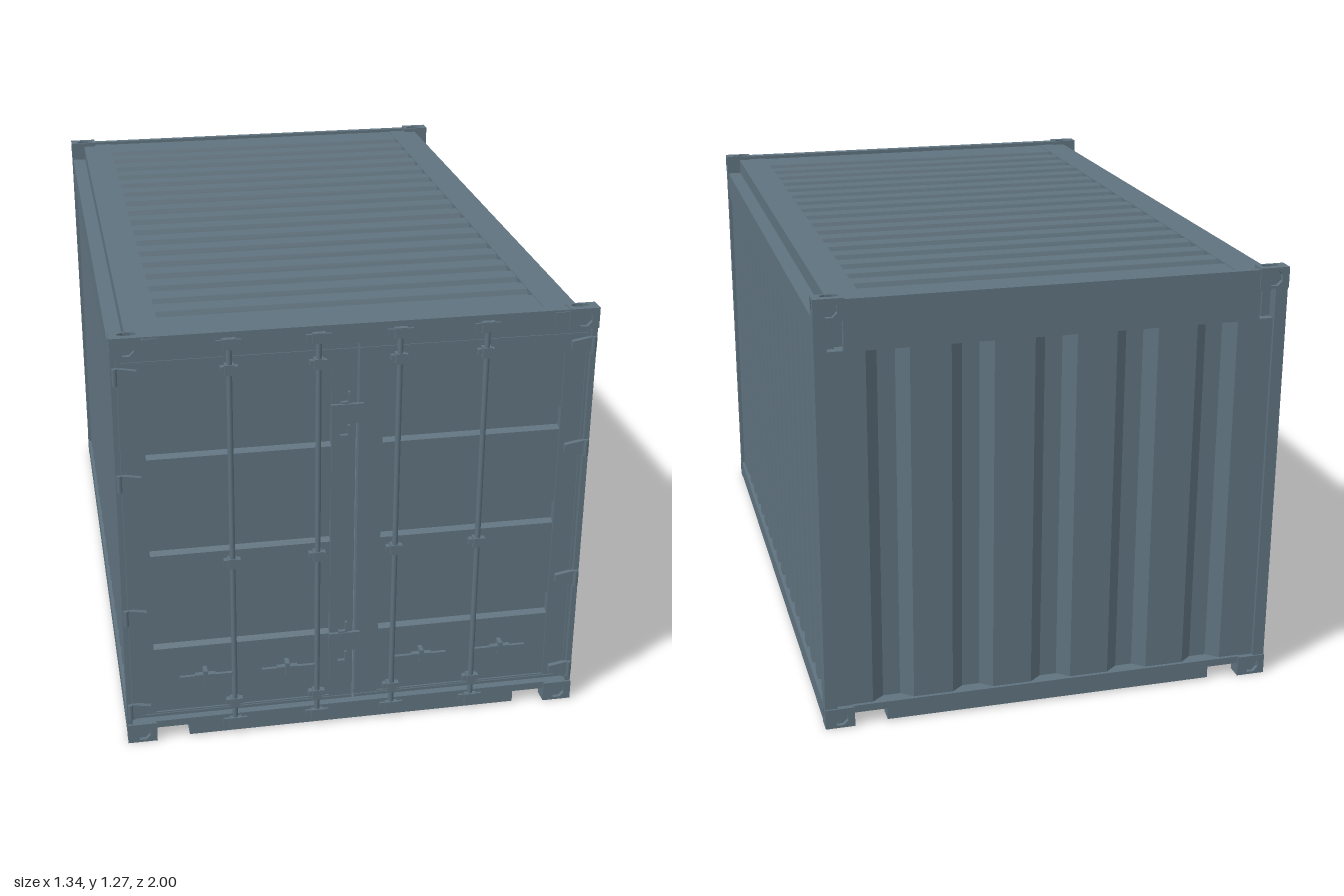
import * as THREE from 'three';

const mat = new THREE.MeshStandardMaterial({ color: 0x5f727e });

export function createModel() {
  const root = new THREE.Group();
  root.name = 'shippingContainer';

  const add = (name, geo, x = 0, y = 0, z = 0, parent = root) => {
    const m = new THREE.Mesh(geo, mat);
    m.name = name;
    m.position.set(x, y, z);
    parent.add(m);
    return m;
  };
  // box given by its limits on each axis
  const box = (name, x0, x1, y0, y1, z0, z1, parent = root) =>
    add(name, new THREE.BoxGeometry(Math.abs(x1 - x0), y1 - y0, z1 - z0),
      (x0 + x1) / 2, (y0 + y1) / 2, (z0 + z1) / 2, parent);

  // plate with trapezoid grooves: u runs across the grooves, w points outward
  const corrugated = (name, u0, u1, grooves, slope, depth, thick, length, uAxis, wAxis, pos) => {
    const s = new THREE.Shape();
    s.moveTo(u0, -thick);
    s.lineTo(u1, -thick);
    s.lineTo(u1, 0);
    [...grooves].sort((a, b) => b[0] - a[0]).forEach(([a, b]) => {
      s.lineTo(b, 0);
      s.lineTo(b - slope, -depth);
      s.lineTo(a + slope, -depth);
      s.lineTo(a, 0);
    });
    s.lineTo(u0, 0);
    const g = new THREE.ExtrudeGeometry(s, { depth: length, bevelEnabled: false });
    g.translate(0, 0, -length / 2);
    g.applyMatrix4(new THREE.Matrix4().makeBasis(uAxis, wAxis, uAxis.clone().cross(wAxis)));
    return add(name, g, ...pos);
  };
  const X = new THREE.Vector3(1, 0, 0), Y = new THREE.Vector3(0, 1, 0), Z = new THREE.Vector3(0, 0, 1);

  // evenly spaced grooves along the length, shared by walls and roof
  const along = (half) => Array.from({ length: 17 }, (_, i) => {
    const c = -0.843 + i * 0.1027;
    return [c - half, c + half];
  });

  // floor and lower side rails
  box('floor', -0.65, 0.65, 0.03, 0.06, -0.97, 0.96);
  for (const s of [1, -1]) {
    box('bottomRail', s * 0.65, s * 0.67, 0.005, 0.06, -0.95, 0.95);
    box('topRail', s * 0.61, s * 0.668, 1.12, 1.21, -0.96, 0.96);
    box('frontPost', s * 0.655, s * 0.67, 0.06, 1.21, 0.95, 0.985);
    box('backPost', s * 0.635, s * 0.67, 0.06, 1.21, -0.995, -0.95);
    corrugated('sideWall', -0.95, 0.95, along(0.03), 0.012, 0.022, 0.035, 1.06,
      Z, X.clone().multiplyScalar(s), [s * 0.66, 0.59, 0]);
    box('roofEdge', s * 0.53, s * 0.625, 1.2, 1.257, -0.985, 0.96);
  }

  // roof with cross ribs
  corrugated('roof', -0.985, 0.96, along(0.025), 0.006, 0.014, 0.04, 1.06, Z, Y, [0, 1.255, 0]);

  // back wall with broad upright grooves
  const backGrooves = [-2, -1, 0, 1, 2].map((i) => [i * 0.235 - 0.06, i * 0.235 + 0.06]);
  corrugated('backWall', -0.64, 0.64, backGrooves, 0.035, 0.028, 0.04, 1.06,
    X, Z.clone().negate(), [0, 0.59, -0.985]);
  box('backHeader', -0.59, 0.59, 1.12, 1.265, -0.995, -0.975);
  box('frontHeader', -0.59, 0.59, 1.21, 1.267, 0.955, 0.985);

  // sills with lift pockets beside the corners
  for (const [z0, z1] of [[0.94, 0.985], [-0.995, -0.95]]) {
    box('sill', -0.49, 0.49, 0.005, 0.062, z0, z1);
    for (const s of [1, -1]) box('sillEnd', s * 0.49, s * 0.59, 0.04, 0.062, z0, z1);
  }

  // corner castings: a core with holed plates on the outer faces
  const holedPlate = (w, h, hw, hh, d) => {
    const s = new THREE.Shape([[-w, -h], [w, -h], [w, h], [-w, h]]
      .map(([a, b]) => new THREE.Vector2(a / 2, b / 2)));
    const p = [];
    for (let i = 0; i < 8; i++) {
      const a = (i + 0.5) * Math.PI / 4;
      p.push(new THREE.Vector2(Math.cos(a) * hw * 0.54, Math.sin(a) * hh * 0.54));
    }
    s.holes.push(new THREE.Path(p));
    return new THREE.ExtrudeGeometry(s, { depth: d, bevelEnabled: false });
  };
  const t = 0.012;
  for (const sx of [1, -1]) for (const sy of [1, -1]) for (const sz of [1, -1]) {
    const g = new THREE.Group();
    g.name = 'cornerCasting';
    const zo = sz > 0 ? 0.992 : -1;
    g.position.set(sx * 0.628, sy > 0 ? 1.24 : 0.03, zo - sz * 0.0235);
    root.add(g);
    add('castingCore', new THREE.BoxGeometry(0.085 - t, 0.06 - t, 0.047 - t),
      -sx * t / 2, -sy * t / 2, -sz * t / 2, g);
    const end = add('castingEnd', holedPlate(0.085, 0.06, 0.045, 0.045, t), 0, 0, sz * (0.0235 - t), g);
    if (sz < 0) end.rotation.y = Math.PI;
    const side = add('castingSide', holedPlate(0.047 - t, 0.06, 0.02, 0.042, t),
      sx * (0.0425 - t), 0, -sz * t / 2, g);
    side.rotation.y = sx * Math.PI / 2;
    const cap = add('castingCap', holedPlate(0.085 - t, 0.047 - t, 0.05, 0.022, t),
      -sx * t / 2, sy * (0.03 - t), -sz * t / 2, g);
    cap.rotation.x = -sy * Math.PI / 2;
  }

  // doors: frame, grooved panel and seals
  const doorGrooves = [0.295, 0.6, 0.9].map((y) => [y, y + 0.07]);
  for (const s of [1, -1]) {
    box('doorOuterStile', s * 0.585, s * 0.65, 0.07, 1.205, 0.945, 0.973);
    box('doorInnerStile', s * 0.004, s * 0.072, 0.07, 1.205, 0.945, 0.973);
    box('doorTopRail', s * 0.072, s * 0.585, 1.135, 1.205, 0.945, 0.973);
    box('doorBottomRail', s * 0.072, s * 0.585, 0.07, 0.085, 0.945, 0.973);
    corrugated('doorPanel', 0.085, 1.135, doorGrooves, 0.008, 0.018, 0.03, 0.513,
      Y, Z, [s * 0.3285, 0, 0.968]);
    box('doorSealSide', s * 0.645, s * 0.653, 0.07, 1.205, 0.95, 0.977);
    box('doorSealTop', s * 0.004, s * 0.645, 1.188, 1.193, 0.95, 0.976);
    box('doorSealBottom', s * 0.004, s * 0.645, 0.076, 0.081, 0.95, 0.976);
    box('headerGusset', s * 0.545, s * 0.585, 1.225, 1.262, 0.98, 0.989);

    // tapered hinges
    for (const y of [0.105, 0.42, 0.845, 1.16]) {
      const h = new THREE.Shape([[0.6, -0.012], [0.655, -0.022], [0.67, -0.022],
        [0.67, 0.022], [0.655, 0.022], [0.6, 0.012]].map(([a, b]) => new THREE.Vector2(s * a, b)));
      add('hinge', new THREE.ExtrudeGeometry(h, { depth: 0.014, bevelEnabled: false }), 0, y, 0.973);
      const pin = add('hingePin', new THREE.CylinderGeometry(0.007, 0.007, 0.05, 8), s * 0.66, y, 0.99);
      pin.scale.z = 0.9;
    }

    // locking bars with keepers, guides and handles
    for (const bx of [0.112, 0.355]) {
      const x = s * bx;
      add('lockBar', new THREE.CylinderGeometry(0.008, 0.008, 1.215, 10), x, 0.6375, 0.988);
      for (const y of [0.04, 1.236]) {
        box('keeperPlate', x - 0.035, x + 0.035, y - 0.01, y + 0.01, 0.98, 0.992);
        box('keeperCam', x - 0.018, x + 0.018, y - 0.015, y + 0.015, 0.982, 1);
      }
      for (const y of [0.105, 0.57, 1.16]) {
        box('barGuide', x - 0.024, x + 0.024, y - 0.008, y + 0.008, 0.97, 0.988);
        box('barClamp', x - 0.013, x + 0.013, y - 0.015, y + 0.015, 0.972, 0.998);
      }
      const hx = bx < 0.2 ? 0.2 : 0.44;
      box('handle', x, s * (hx + 0.075), 0.2, 0.21, 0.984, 0.994);
      box('handleGrip', s * (hx - 0.03), s * (hx + 0.03), 0.197, 0.213, 0.98, 0.996);
      box('handleCatch', s * hx - 0.006, s * hx + 0.006, 0.185, 0.225, 0.965, 0.998);
    }
  }

  // overlapping lock plates at the door joint
  for (const y of [0.27, 1.0]) {
    box('lockPlate', -0.075, 0.016, y - 0.028, y + 0.03, 0.97, 0.982);
    for (const dy of [-0.05, 0.05]) {
      box('lockTabUpright', -0.028, -0.022, y + dy - 0.017, y + dy + 0.017, 0.97, 0.984);
      box('lockTab', -0.048, -0.022, y + dy - 0.017, y + dy - 0.012, 0.97, 0.984);
    }
  }
  return root;
}
